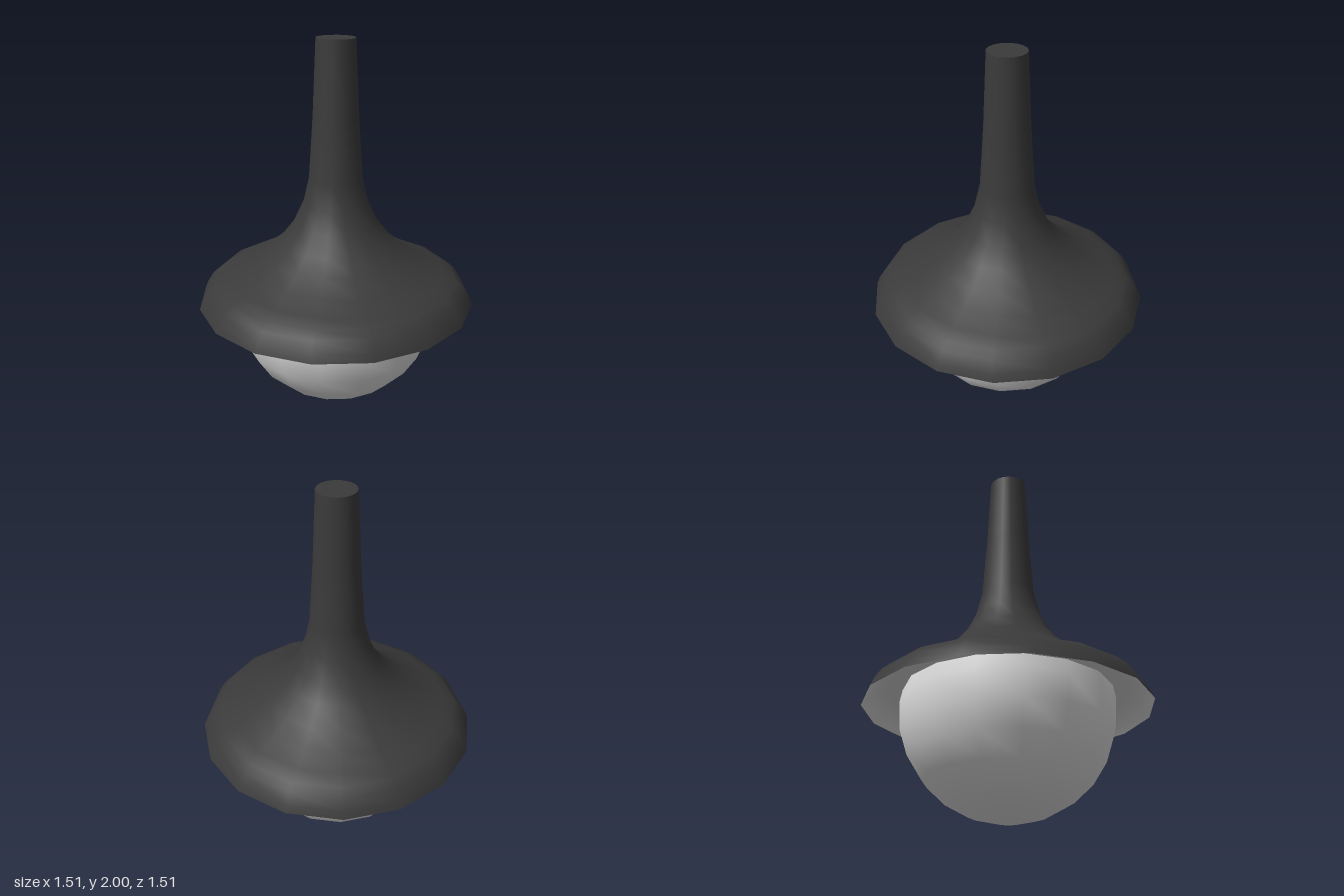
import * as THREE from 'three';

const SIDES = 16;

// Surface of revolution; profiles running upwards face outwards.
function lathe(name, profile, material) {
  const points = profile.map(([r, y]) => new THREE.Vector2(r, y));
  const mesh = new THREE.Mesh(new THREE.LatheGeometry(points, SIDES), material);
  mesh.name = name;
  return mesh;
}

export function createModel() {
  const black = new THREE.MeshStandardMaterial({ color: 0x3a3a3a });
  black.name = 'black metal';
  const white = new THREE.MeshStandardMaterial({ color: 0xe0e0e0 });
  white.name = 'white glass';
  const lining = new THREE.MeshStandardMaterial({ color: 0xd8d8d8 });
  lining.name = 'pale lining';

  const lamp = new THREE.Group();
  lamp.name = 'pendantLamp';

  // Flared shade sweeping up into the slim stem
  lamp.add(lathe('shade', [
    [0.757, 0.58], [0.74, 0.62], [0.705, 0.675], [0.665, 0.71], [0.6, 0.742],
    [0.5, 0.785], [0.39, 0.855], [0.3, 0.93], [0.23, 1.02], [0.175, 1.14],
    [0.145, 1.27], [0.122, 1.6], [0.103, 2],
  ], black));

  // Flat end of the stem
  lamp.add(lathe('stemCap', [[0.103, 2], [0, 2]], black));

  // Pale underside of the shade, running from the globe out to the rim
  lamp.add(lathe('shadeLining', [
    [0.5, 0.67], [0.63, 0.67], [0.69, 0.655], [0.73, 0.615], [0.757, 0.58],
  ], lining));

  // Round glass globe, its top tucked into the shade
  const radius = 0.565, centre = 0.567, step = Math.PI / 12.5;
  const globe = [[0, 0.002]];
  for (let i = 0; i < 8; i++) {
    const a = step * (i + 0.5);
    globe.push([radius * Math.sin(a), centre - radius * Math.cos(a)]);
  }
  lamp.add(lathe('globe', globe, white));

  return lamp;
}
